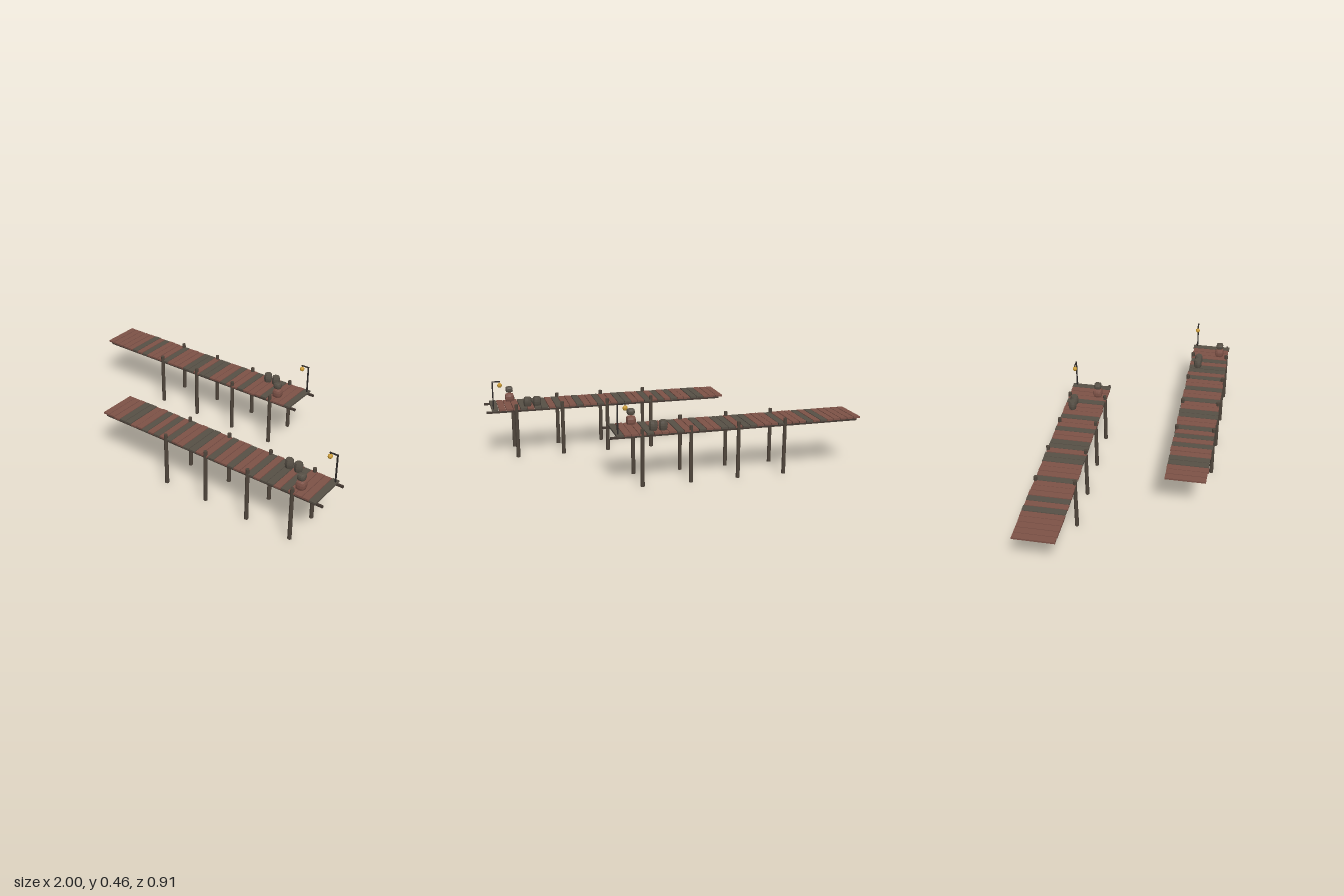
import * as THREE from 'three';

const mat = (name, color, extra = {}) => {
  const m = new THREE.MeshStandardMaterial({ color, flatShading: true, ...extra });
  m.name = name;
  return m;
};

export function createModel() {
  const redWood = mat('red brown wood', 0x7d5247);
  const greyWood = mat('weathered wood', 0x575046);
  const postWood = mat('post wood', 0x4f453b);
  const beamWood = mat('beam wood', 0x453a33);
  const iron = mat('dark iron', 0x2e2a28);
  const glow = mat('lantern amber', 0xc8982f);

  const add = (parent, name, geo, material, x, y, z) => {
    const mesh = new THREE.Mesh(geo, material);
    mesh.name = name;
    mesh.position.set(x, y, z);
    parent.add(mesh);
    return mesh;
  };
  const box = (w, h, d) => new THREE.BoxGeometry(w, h, d);

  // Small seeded generator for plank irregularity
  let seed = 7;
  const rnd = () => ((seed = (seed * 16807) % 2147483647) / 2147483647);

  // Bulging bundle: a box rounded by a fourth-power norm
  const bundleGeo = (hx, hy, hz) => {
    const g = new THREE.BoxGeometry(2, 2, 2, 3, 3, 3);
    const p = g.attributes.position, v = new THREE.Vector3();
    for (let i = 0; i < p.count; i++) {
      v.fromBufferAttribute(p, i);
      v.divideScalar(Math.pow(v.x ** 4 + v.y ** 4 + v.z ** 4, 0.25));
      p.setXYZ(i, v.x * hx, v.y * hy, v.z * hz);
    }
    g.computeVertexNormals();
    return g;
  };

  const postGeo = new THREE.CylinderGeometry(0.0105, 0.0115, 0.316, 8);
  const barrelGeo = new THREE.LatheGeometry(
    [[0, 0], [0.02, 0], [0.0235, 0.013], [0.025, 0.026], [0.0235, 0.039], [0.02, 0.052], [0, 0.052]]
      .map(([r, y]) => new THREE.Vector2(r, y)), 8);
  const lanternGeo = new THREE.SphereGeometry(0.0135, 8, 6);
  const PLANKS = 34, PITCH = 1.39 / PLANKS;

  // One pier, starting at x = 0 and running toward +x
  const pier = (name, x, z, greyPlanks) => {
    const g = new THREE.Group();
    g.name = name;
    g.position.set(x, 0, z);

    // Deck boards
    for (let i = 0; i < PLANKS; i++) {
      const len = 0.222 + rnd() * 0.01;
      add(g, 'plank', box(PITCH - 0.0035, 0.01, len), greyPlanks.includes(i) ? greyWood : redWood,
        (i + 0.5) * PITCH, 0.287 + rnd() * 0.002, (rnd() - 0.5) * 0.003);
    }

    // Long beams and posts on both sides
    for (const s of [-1, 1]) {
      add(g, 'beam', box(1.4, 0.012, 0.011), beamWood, 0.72, 0.277, s * 0.1);
      for (let i = 0; i < 4; i++)
        add(g, 'post', postGeo, postWood, 0.45 + i * 0.2667, 0.158, s * 0.1065);
    }

    // Barrels and stacked bundles
    for (const bx of [1.125, 1.18]) add(g, 'barrel', barrelGeo, greyWood, bx, 0.292, -0.063);
    add(g, 'lowerBundle', bundleGeo(0.0255, 0.0255, 0.0255), redWood, 1.272, 0.3205, 0.06);
    add(g, 'upperBundle', bundleGeo(0.021, 0.0175, 0.021), greyWood, 1.272, 0.3685, 0.06);

    // Lamp with arm and lantern
    add(g, 'lampPole', box(0.007, 0.175, 0.007), iron, 1.378, 0.3695, -0.092);
    add(g, 'lampArm', box(0.045, 0.006, 0.006), iron, 1.356, 0.454, -0.092);
    add(g, 'lanternHook', box(0.003, 0.012, 0.003), iron, 1.337, 0.448, -0.092);
    add(g, 'lantern', lanternGeo, glow, 1.337, 0.432, -0.092);
    return g;
  };

  const model = new THREE.Group();
  model.name = 'twinPiers';
  model.add(pier('backPier', -1, -0.338, [5, 7, 11, 15, 16, 18, 19, 22, 25, 29, 33]));
  model.add(pier('frontPier', -0.42, 0.338, [3, 4, 7, 9, 11, 14, 15, 18, 21, 24, 26, 27, 29, 33]));
  return model;
}
